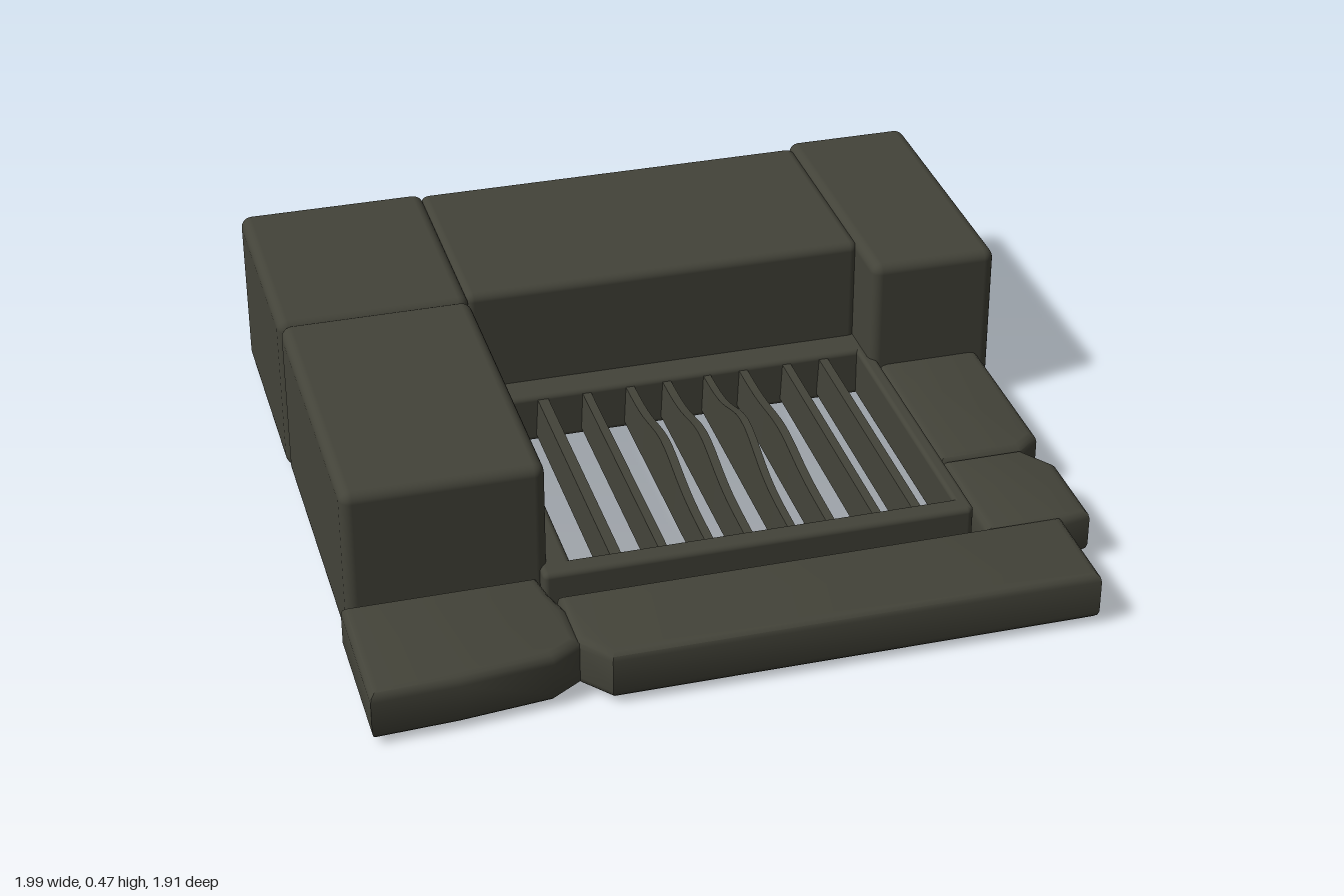
import * as THREE from 'three';
import { toCreasedNormals } from 'three/addons/utils/BufferGeometryUtils.js';
import { RoundedBoxGeometry } from 'three/addons/geometries/RoundedBoxGeometry.js';

export function createModel() {
  const model = new THREE.Group();
  model.name = 'stoneFirePit';
  const stone = new THREE.MeshStandardMaterial({ color: 0x434339 });
  stone.name = 'darkStone';

  const add = (name, geometry, parent = model) => {
    const mesh = new THREE.Mesh(geometry, stone);
    mesh.name = name;
    parent.add(mesh);
    return mesh;
  };

  // Rounded block between two corners
  const block = (name, x0, x1, y0, y1, z0, z1, r, parent) => {
    const geo = new RoundedBoxGeometry(x1 - x0, y1 - y0, z1 - z0, 3, r);
    geo.translate((x0 + x1) / 2, (y0 + y1) / 2, (z0 + z1) / 2);
    return add(name, geo, parent);
  };

  // Low stone with a rounded rim, from an outline of [x, z] points
  const slab = (name, outline, y0, y1) => {
    const b = 0.025;
    const shape = new THREE.Shape(outline.map(([x, z]) => new THREE.Vector2(x, z)));
    const geo = new THREE.ExtrudeGeometry(shape, {
      depth: y1 - y0 - 2 * b, bevelEnabled: true, bevelThickness: b,
      bevelSize: b, bevelOffset: -b, bevelSegments: 3,
    });
    geo.rotateX(Math.PI / 2);
    geo.translate(0, y1 - b, 0);
    add(name, toCreasedNormals(geo, 0.7));
  };

  // Tall blocks around the back
  block('backRightCornerBlock', -0.99, -0.468, 0.012, 0.47, -0.94, -0.295, 0.03);
  block('rightSideBlock', -0.985, -0.468, 0.012, 0.47, -0.3, 0.57, 0.03);
  block('backBlock', -0.475, 0.645, 0, 0.465, -0.935, -0.32, 0.025);
  block('leftSideBlock', 0.635, 0.99, 0.012, 0.472, -0.96, -0.165, 0.03);

  // Low stones along the front and the left side
  slab('frontCornerStone', [[-1, 0.57], [-0.5, 0.57], [-0.485, 0.65], [-0.46, 0.73],
    [-0.46, 0.87], [-0.54, 0.92], [-0.78, 0.945], [-1, 0.955]], 0.012, 0.15);
  slab('frontStone', [[-0.47, 0.668], [0.875, 0.668], [0.875, 0.95], [-0.4, 0.95],
    [-0.47, 0.865]], 0.012, 0.152);
  slab('leftRearStone', [[0.66, -0.19], [0.955, -0.19], [0.955, 0.29], [0.89, 0.345],
    [0.66, 0.345]], 0.02, 0.155);
  slab('leftFrontStone', [[0.668, 0.335], [0.89, 0.335], [0.955, 0.43], [0.955, 0.67],
    [0.85, 0.69], [0.668, 0.685]], 0.02, 0.15);

  // Grate frame
  const grate = new THREE.Group();
  grate.name = 'grate';
  model.add(grate);
  const y0 = 0.03, y1 = 0.172;
  block('frameFront', -0.49, 0.655, y0, y1, 0.55, 0.61, 0.015, grate);
  block('frameBack', -0.48, 0.65, y0, y1, -0.34, -0.232, 0.015, grate);
  block('frameRight', -0.49, -0.408, y0, y1, -0.33, 0.6, 0.015, grate);
  block('frameLeft', 0.618, 0.658, y0, y1, -0.29, 0.605, 0.012, grate);

  // Grate bars, some of them warped upwards in the middle: [x, width, rise]
  const bars = [[-0.287, 0.042, 0], [-0.163, 0.034, 0], [-0.04, 0.034, 0.045],
    [0.065, 0.034, 0.05], [0.181, 0.03, 0.07], [0.286, 0.034, 0.03],
    [0.412, 0.034, 0], [0.52, 0.036, 0]];
  for (const [x, width, rise] of bars) {
    const geo = new THREE.BoxGeometry(width, 0.11, 0.82, 1, 1, 20);
    const p = geo.attributes.position;
    for (let i = 0; i < p.count; i++) {
      if (p.getY(i) < 0) continue;
      const bump = rise * Math.exp(-(((p.getZ(i) + 0.03) / 0.16) ** 2));
      p.setY(i, p.getY(i) + bump);
      p.setX(i, p.getX(i) * 0.7);
    }
    geo.computeVertexNormals();
    geo.translate(x, 0.105, 0.16);
    add('grateBar', geo, grate);
  }
  return model;
}
